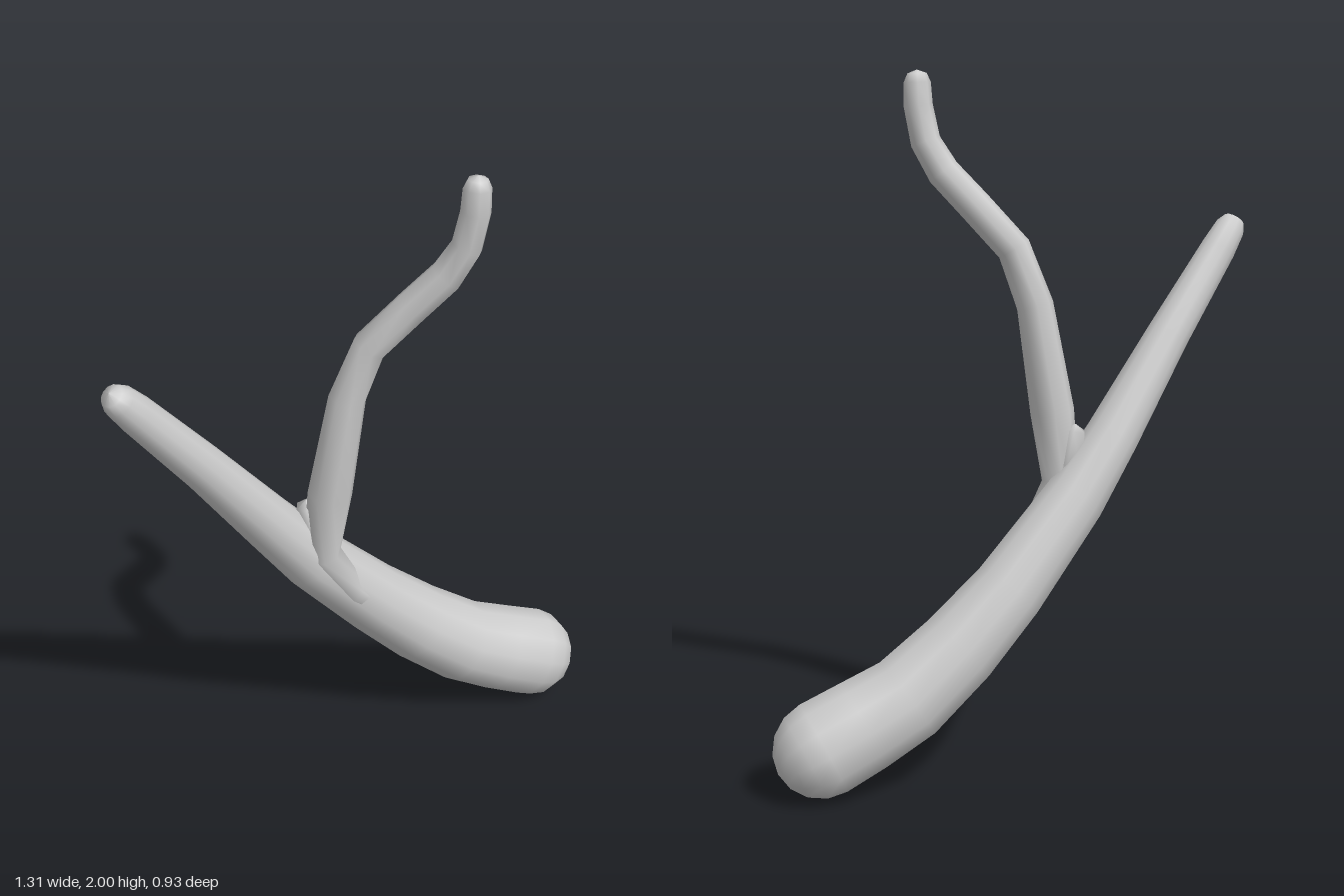
import * as THREE from 'three';

const material = new THREE.MeshStandardMaterial({ color: 0xcccccc, roughness: 0.9 });

// Rounded end: rings shrinking to a pole along the outgoing direction
function cap(end, inner, steps, stretch) {
  const p = new THREE.Vector3(...end);
  const dir = p.clone().sub(new THREE.Vector3(...inner)).normalize();
  const rings = [];
  for (let i = 1; i <= steps; i++) {
    const a = (i / steps) * Math.PI / 2;
    const q = p.clone().addScaledVector(dir, Math.sin(a) * end[3] * stretch);
    rings.push([q.x, q.y, q.z, Math.max(0, Math.cos(a)) * end[3]]);
  }
  return rings;
}

// Tapered limb skinned over stations [x, y, z, radius]
function limb(name, stations, sides, startCap, endCap) {
  const last = stations.length - 1;
  const rows = [
    ...cap(stations[0], stations[1], ...startCap).reverse(),
    ...stations,
    ...cap(stations[last], stations[last - 1], ...endCap),
  ];
  const points = rows.map(([x, y, z]) => new THREE.Vector3(x, y, z));
  const positions = [], index = [];
  const normal = new THREE.Vector3(0, 0, 1);
  rows.forEach((row, i) => {
    const before = points[Math.max(i - 1, 0)];
    const after = points[Math.min(i + 1, rows.length - 1)];
    const tangent = after.clone().sub(before).normalize();
    // carry the previous normal along so the skin does not twist
    normal.addScaledVector(tangent, -normal.dot(tangent)).normalize();
    const binormal = tangent.clone().cross(normal);
    for (let j = 0; j < sides; j++) {
      const a = (j / sides) * Math.PI * 2;
      const v = points[i].clone()
        .addScaledVector(normal, Math.cos(a) * row[3])
        .addScaledVector(binormal, Math.sin(a) * row[3]);
      positions.push(v.x, v.y, v.z);
      if (i === rows.length - 1) continue;
      const k = (j + 1) % sides;
      const p = i * sides + j, q = i * sides + k;
      index.push(p, q, p + sides, q, q + sides, p + sides);
    }
  });
  const geometry = new THREE.BufferGeometry();
  geometry.setAttribute('position', new THREE.Float32BufferAttribute(positions, 3));
  geometry.setIndex(index);
  geometry.computeVertexNormals();
  const mesh = new THREE.Mesh(geometry, material);
  mesh.name = name;
  return mesh;
}

export function createModel() {
  const group = new THREE.Group();
  group.name = 'forkedBranch';

  // Thick limb, from the rounded butt up to the thin tip
  group.add(limb('mainLimb', [
    [0.515, 0.142, -0.325, 0.142],
    [0.41, 0.195, -0.28, 0.138],
    [0.29, 0.262, -0.23, 0.13],
    [0.15, 0.39, -0.16, 0.12],
    [0.015, 0.54, -0.085, 0.107],
    [-0.165, 0.78, 0.04, 0.092],
    [-0.27, 0.95, 0.12, 0.08],
    [-0.43, 1.23, 0.26, 0.064],
    [-0.575, 1.47, 0.385, 0.053],
    [-0.61, 1.53, 0.42, 0.046],
  ], 12, [4, 1], [2, 0.95]));

  // Crooked side twig, its root running down into the limb
  group.add(limb('sideTwig', [
    [0.08, 0.49, -0.06, 0.03],
    [-0.04, 0.65, 0.025, 0.045],
    [-0.125, 0.82, 0.075, 0.055],
    [-0.1, 1.03, 0.083, 0.064],
    [-0.05, 1.34, 0.077, 0.053],
    [0.01, 1.5, 0.075, 0.049],
    [0.12, 1.62, 0.076, 0.048],
    [0.21, 1.715, 0.077, 0.047],
    [0.26, 1.8, 0.078, 0.043],
    [0.28, 1.9, 0.08, 0.041],
    [0.282, 1.965, 0.08, 0.038],
  ], 8, [2, 1], [2, 0.9]));

  // Small broken knot in the fork
  group.add(limb('forkKnot', [
    [-0.14, 0.85, 0.07, 0.055],
    [-0.165, 0.98, 0.07, 0.035],
  ], 6, [1, 0.5], [1, 0.5]));

  return group;
}
